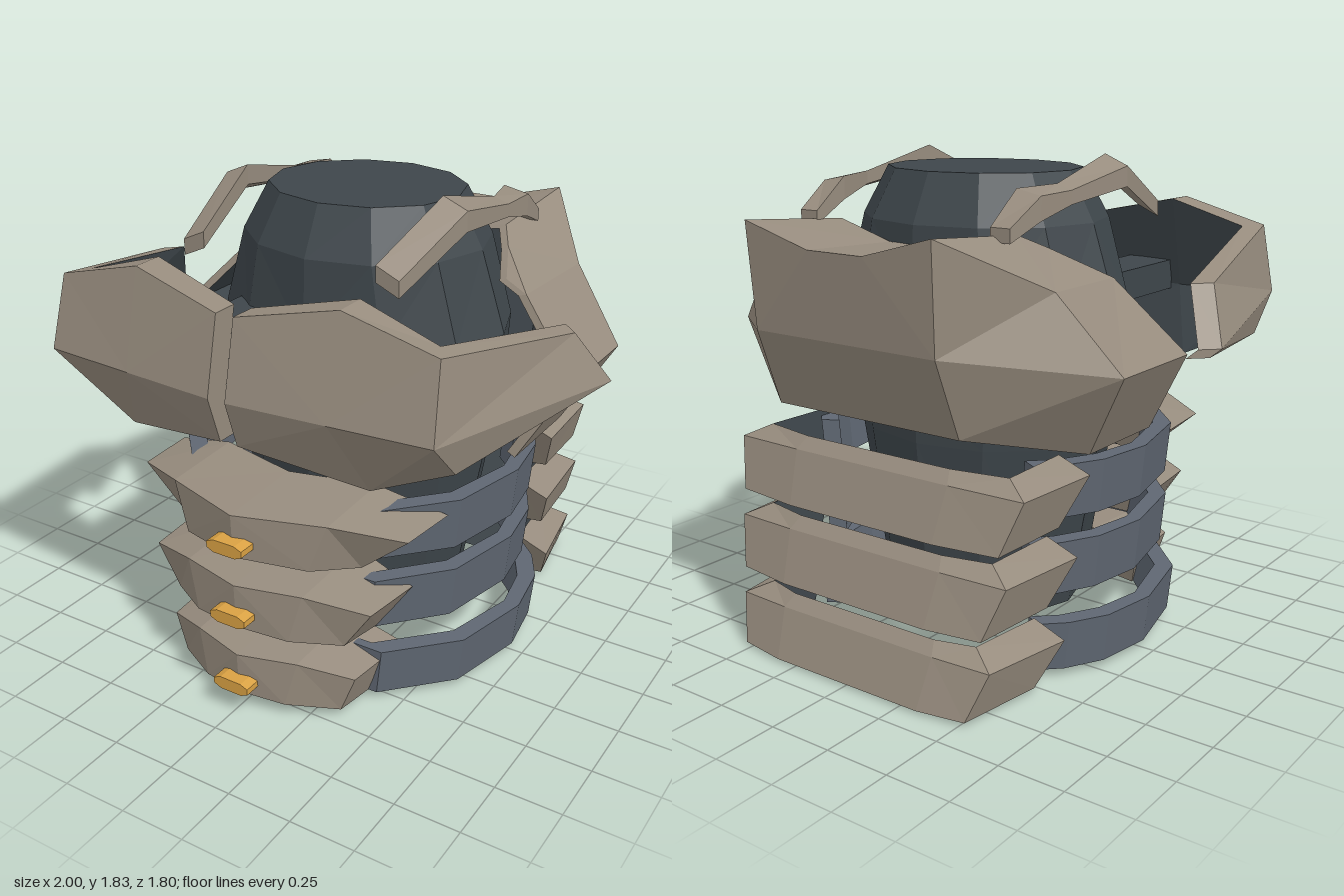
import * as THREE from 'three';

const mat = (name, color) => Object.assign(new THREE.MeshStandardMaterial({ color }), { name });
const gap = (p, q) => Math.hypot(p[0] - q[0], p[1] - q[1], p[2] - q[2]);

// Flat-shaded mesh from quads (corners counter-clockwise), each split along its shorter diagonal
function quadMesh(name, quads, material) {
  const v = [];
  for (const [a, b, c, d] of quads) {
    if (gap(a, c) < gap(b, d)) v.push(...a, ...b, ...c, ...a, ...c, ...d);
    else v.push(...a, ...b, ...d, ...b, ...c, ...d);
  }
  const g = new THREE.BufferGeometry();
  g.setAttribute('position', new THREE.Float32BufferAttribute(v, 3));
  g.computeVertexNormals();
  const m = new THREE.Mesh(g, material);
  m.name = name;
  return m;
}

// Thick panel between an outer and an inner grid of points (columns left to right, rows top down)
function shell(name, outer, inner, material, lining = material) {
  const quads = [], back = [], loop = [];
  const C = outer.length - 1, R = outer[0].length - 1;
  for (let i = 0; i < C; i++) for (let j = 0; j < R; j++) {
    quads.push([outer[i][j], outer[i][j + 1], outer[i + 1][j + 1], outer[i + 1][j]]);
    back.push([inner[i][j], inner[i + 1][j], inner[i + 1][j + 1], inner[i][j + 1]]);
  }
  for (let j = 0; j < R; j++) loop.push([0, j]);
  for (let i = 0; i < C; i++) loop.push([i, R]);
  for (let j = R; j > 0; j--) loop.push([C, j]);
  for (let i = C; i > 0; i--) loop.push([i, 0]);
  loop.forEach(([i, j], k) => {
    const [m, n] = loop[(k + 1) % loop.length];
    quads.push([outer[m][n], outer[i][j], inner[i][j], inner[m][n]]);
  });
  const group = new THREE.Group();
  group.name = name;
  group.add(quadMesh(name + 'Outside', quads, material), quadMesh(name + 'Inside', back, lining));
  return group;
}

const flip = cols => cols.map(c => c.map(([x, y, z]) => [-x, y, z])).reverse();
// Whole grid from its +x half, whose first column lies on the centre line
const both = half => [...flip(half.slice(1)), ...half];

export function createModel() {
  const model = new THREE.Group();
  model.name = 'torsoArmour';
  const plateMat = mat('armour plate brown', 0x978c7e);
  const coreMat = mat('dark undersuit', 0x3e464b);
  const bandMat = mat('blue grey band', 0x5f6772);
  const goldMat = mat('gold buckle', 0xd9a143);
  const pair = (name, outer, inner, m, lining) => model.add(
    shell('left' + name, outer, inner, m, lining),
    shell('right' + name, flip(outer), flip(inner), m, lining));

  // Twelve-sided torso core: radius in x, height, radius in z
  const profile = [[0.40, 0.13, 0.35], [0.42, 0.25, 0.375], [0.52, 0.8, 0.425], [0.56, 1.0, 0.435],
    [0.58, 1.3, 0.44], [0.48, 1.6, 0.425], [0.38, 1.78, 0.335]];
  const rings = profile.map(([rx, y, rz]) => Array.from({ length: 13 }, (_, k) => {
    const a = k * Math.PI / 6;
    return [rx * Math.sin(a), y, rz * Math.cos(a) - 0.052];
  }));
  const coreQuads = [];
  for (let r = 0; r < rings.length - 1; r++) for (let k = 0; k < 12; k++)
    coreQuads.push([rings[r][k], rings[r][k + 1], rings[r + 1][k + 1], rings[r + 1][k]]);
  const top = rings[rings.length - 1], low = rings[0];
  for (let k = 0; k < 12; k += 2) {
    coreQuads.push([[0, 1.78, -0.052], top[k], top[k + 1], top[k + 2]]);
    coreQuads.push([[0, 0.13, -0.052], low[k + 2], low[k + 1], low[k]]);
  }
  model.add(quadMesh('torsoCore', coreQuads, coreMat));

  // Chest halves: top, ridge and bottom of each column, sweeping round to the side
  const chest = [
    [[0.035, 1.54, 0.835], [0.035, 1.26, 0.9], [0.035, 1.08, 0.843]],
    [[0.41, 1.62, 0.782], [0.41, 1.26, 0.87], [0.5, 1.0, 0.75]],
    [[0.76, 1.53, 0.772], [0.78, 1.26, 0.84], [0.78, 1.11, 0.69]],
    [[0.9, 1.41, 0.07], [1.0, 1.21, -0.05], [0.97, 1.18, -0.08]],
  ];
  const inset = [[0, -0.1], [0, -0.12], [-0.05, -0.09], [-0.06, -0.06]];
  pair('ChestPlate', chest,
    chest.map((c, i) => c.map(([x, y, z]) => [x + inset[i][0], y, z + inset[i][1]])), plateMat, coreMat);

  // Struts holding the chest plates
  for (const s of [-1, 1]) {
    const strut = new THREE.Mesh(new THREE.BoxGeometry(0.2, 0.12, 0.5), coreMat);
    strut.position.set(s * 0.27, 1.3, 0.5);
    strut.name = 'chestStrut';
    model.add(strut);
  }

  // Back and shoulder guard: collar rim, top ridge, side ridge, hem
  const guard = both([
    [[0, 1.53, -0.46], [0, 1.55, -0.885], [0, 1.24, -0.86], [0, 0.95, -0.75]],
    [[0.12, 1.53, -0.46], [0.12, 1.55, -0.885], [0.12, 1.24, -0.86], [0.12, 0.95, -0.75]],
    [[0.4, 1.59, -0.41], [0.41, 1.63, -0.885], [0.4, 1.24, -0.86], [0.41, 0.95, -0.75]],
    [[0.46, 1.54, -0.31], [0.65, 1.44, -0.55], [0.865, 1.17, -0.47], [0.685, 0.86, -0.38]],
    [[0.52, 1.46, -0.18], [0.62, 1.43, -0.14], [0.865, 1.17, -0.04], [0.685, 0.86, 0.03]],
  ]).reverse();
  model.add(shell('backGuard', guard,
    guard.map(c => c.map(([x, y, z]) => [x * 0.95, 1.2 + (y - 1.2) * 0.96, (z + 0.1) * 0.95 - 0.1])),
    plateMat, coreMat));

  // Shoulder bars from back to front: z, centre x, half width, top, bottom, outward tilt
  const bar = [[-0.55, 0.43, 0.04, 1.63, 1.58, 0], [-0.4, 0.44, 0.05, 1.735, 1.65, 0.01],
    [-0.22, 0.465, 0.03, 1.74, 1.69, 0.01], [0.13, 0.46, 0.048, 1.81, 1.735, 0.02],
    [0.48, 0.4, 0.045, 1.65, 1.59, 0.02]];
  const barSide = k => [-1, 1].map(s => bar.map(b => [b[1] + s * b[2], b[k] - s * b[5], b[0]]));
  pair('ShoulderBar', barSide(3), barSide(4), plateMat);

  // Waist bands, running round the front and sides: top, bottom, widening
  const plan = [[0, 0.55], [0.41, 0.55], [0.62, 0.32], [0.69, 0], [0.655, -0.23], [0.58, -0.37], [0.5, -0.45]];
  for (const [t, b, k] of [[0.8, 0.6, 1], [0.51, 0.31, 0.98], [0.215, 0.03, 1.05]]) {
    const ring = d => both(plan.map(([x, z]) => {
      const px = (x - Math.sign(x) * d) * k, pz = z - Math.sign(z) * d * 0.6;
      return [[px, t, pz], [px - Math.sign(x) * 0.02, b, pz]];
    }));
    model.add(shell('waistBand', ring(0), ring(0.06), bandMat));
  }

  // Belly plates with buckles
  const bellies = [
    { t: 0.81, b: 0.6, m: 0.33, e: 0.575, ez: 0.62, cx: 0.595, cz: 0.37 },
    { t: 0.525, b: 0.31, m: 0.25, e: 0.475, ez: 0.7, cx: 0.5, cz: 0.45 },
    { t: 0.23, b: 0.025, m: 0.22, e: 0.41, ez: 0.7, cx: 0.438, cz: 0.4 },
  ];
  for (const { t, b, m, e, ez, cx, cz } of bellies) {
    const drop = (cx - 0.37) * 0.8;
    const mz = 0.86 - (0.86 - ez) * (m / e) * 0.8;
    const outer = both([
      [[0, t, 0.855], [0, b + 0.04, 0.85]],
      [[m, t, mz], [m * 0.8, b + 0.025, mz + 0.02]],
      [[e, t - 0.05, ez], [e - drop, b + 0.01, ez + 0.01]],
    ]);
    const inner = both([
      [[0, t + 0.015, 0.5], [0, b + 0.035, 0.52]],
      [[m, t + 0.015, 0.42], [m * 0.8, b + 0.02, 0.48]],
      [[cx, t - 0.055, cz], [cx - drop, b, cz + 0.07]],
    ]);
    model.add(shell('bellyPlate', outer, inner, plateMat));

    const s = new THREE.Shape();
    [[0.075, -0.012], [0.075, 0.012], [0.045, 0.025], [-0.045, 0.025],
      [-0.075, 0.012], [-0.075, -0.012], [-0.045, -0.025], [0.045, -0.025]]
      .forEach(([x, y], i) => (i ? s.lineTo(x, y) : s.moveTo(x, y)));
    const buckle = new THREE.Mesh(
      new THREE.ExtrudeGeometry(s, { depth: 0.07, bevelEnabled: false }), goldMat);
    buckle.position.set(0, (t + b) / 2 - 0.008, 0.83);
    buckle.name = 'buckle';
    model.add(buckle);
  }

  // Lower back plates: top, bottom, rear z, front end z, corner x, front end x
  const backs = [[0.825, 0.575, -0.74, -0.35, 0.65, 0.67],
    [0.53, 0.285, -0.79, -0.39, 0.615, 0.65], [0.235, 0, -0.835, -0.45, 0.58, 0.64]];
  for (const [t, b, rz, ez, cx, ex] of backs) {
    const outer = both([
      [[0, t - 0.045, rz], [0, b + 0.01, rz - 0.065]],
      [[0.35, t - 0.045, rz], [0.33, b + 0.01, rz - 0.065]],
      [[cx, t - 0.05, rz + 0.02], [cx - 0.06, b + 0.015, rz - 0.04]],
      [[ex, t - 0.05, ez], [ex - 0.06, b + 0.025, ez - 0.1]],
    ]).reverse();
    const inner = both([
      [[0, t, rz + 0.04], [0, b, rz + 0.2]],
      [[0.33, t, rz + 0.04], [0.3, b, rz + 0.2]],
      [[cx - 0.1, t, rz + 0.08], [cx - 0.16, b, rz + 0.15]],
      [[ex - 0.13, t, ez], [ex - 0.15, b + 0.015, ez - 0.1]],
    ]).reverse();
    model.add(shell('lowerBackPlate', outer, inner, plateMat, coreMat));
  }
  return model;
}
